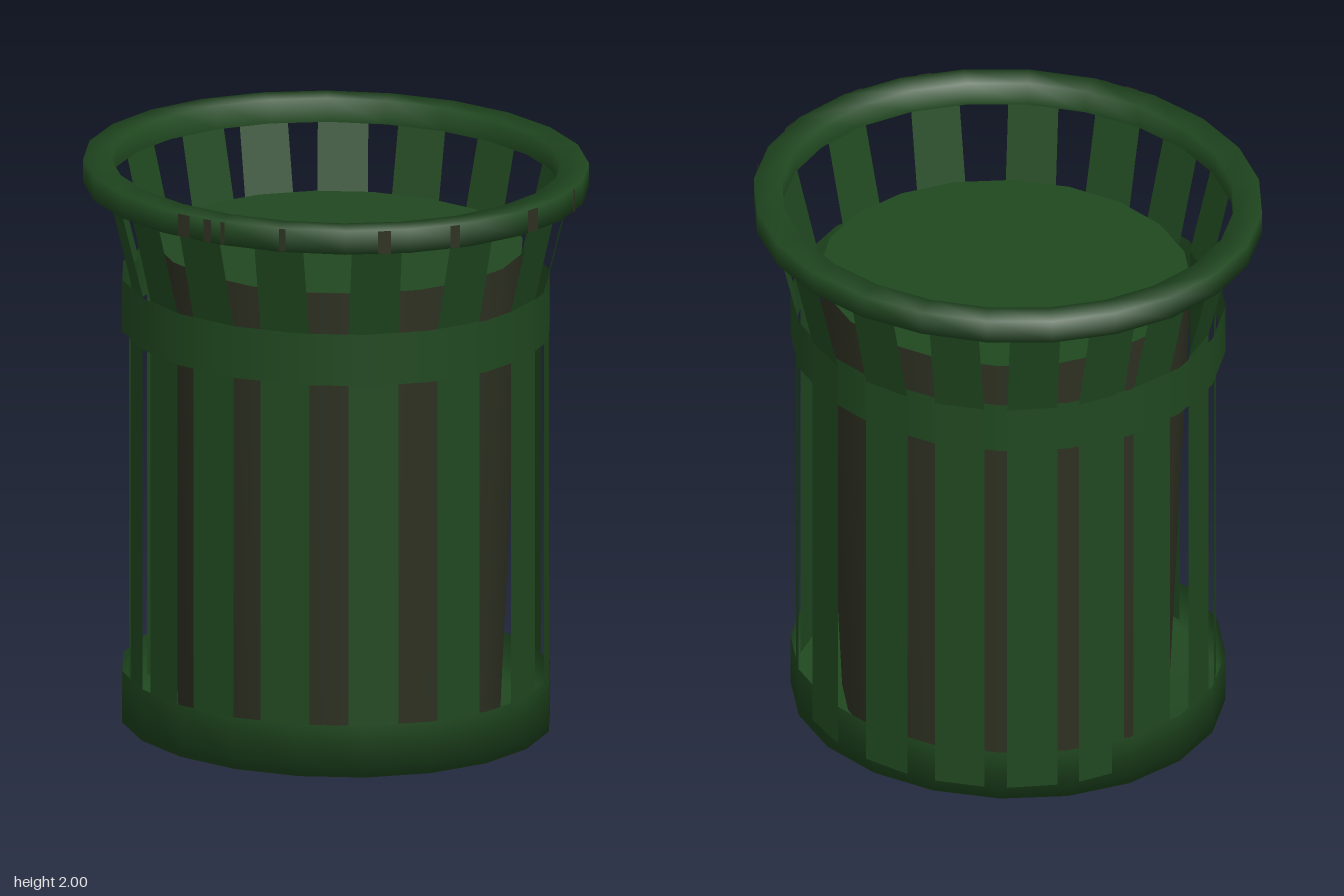
import * as THREE from 'three';

const green = new THREE.MeshStandardMaterial({ color: 0x204820, side: THREE.DoubleSide });
green.name = 'dark green paint';
const brown = new THREE.MeshStandardMaterial({ color: 0x2e3122, side: THREE.DoubleSide });
brown.name = 'dull brown liner';

export function createModel() {
  const root = new THREE.Group();
  root.name = 'litterBin';
  const rad = THREE.MathUtils.degToRad;

  const add = (name, geometry, material, parent = root) => {
    const mesh = new THREE.Mesh(geometry, material);
    mesh.name = name;
    parent.add(mesh);
    return mesh;
  };
  // Lathe profile stretched to an oval, optionally only a sector of it
  const oval = (points, sx, sz, segments = 20, start = 0, length = Math.PI * 2) =>
    new THREE.LatheGeometry(points.map(([r, y]) => new THREE.Vector2(r, y)), segments, start, length)
      .scale(sx, 1, sz);

  // Shallow base cup, softly shaded across its lower edge
  add('baseCup', oval([[0, 0], [1, 0], [1, 0.185]], 0.755, 0.705), green);

  // Flat band around the slats
  add('band', oval([[1, 1.405], [1, 1.59]], 0.755, 0.705), green);

  // Tapered inner liner with its lid
  const liner = add('liner', oval([[0.878, 0.01], [1, 1.7]], 0.645, 0.605), brown);
  const lid = add('linerLid', new THREE.CircleGeometry(1, 20).rotateX(-Math.PI / 2).scale(0.645, 1, 0.605), green);
  liner.position.z = -0.025;
  lid.position.set(0, 1.701, -0.025);

  // Thick square-edged top rim with soft shading
  const rimProfile = [[0.89, 1.915], [1, 1.915], [1, 2], [0.89, 2], [0.89, 1.915]];
  add('rim', oval(rimProfile, 0.885, 0.822, 24), green);

  // Worn streaks on the rim: [degrees from the front toward +x, width in degrees]
  const streaks = [[-9, 3.2], [-2.6, 2], [1.3, 1], [15.7, 1.5], [39, 3], [56, 2.5], [79, 3.5], [98, 1]];
  for (const [a, w] of streaks) {
    add('rimStreak', oval([[1.002, 1.918], [1.002, 1.998]], 0.885, 0.822, 1, rad(a - w / 2), rad(w)), brown);
  }

  // Thin slats: straight up to the band, then flaring out to the rim
  const slats = new THREE.Group();
  slats.name = 'slats';
  slats.position.z = -0.02;
  root.add(slats);
  const levels = [[0, 0.055], [0, 1.58], [0.09, 1.95]]; // outward offset, height
  const angles = [-8, 14, 38.5, 64, 91, 114, 141, 166, 188, 208, 228, 245, 268, 289, 313, 332];
  for (const a of angles) {
    const geometry = new THREE.PlaneGeometry(0.174, 1, 1, 2).toNonIndexed();
    const position = geometry.attributes.position;
    for (let i = 0; i < position.count; i++) {
      const [offset, y] = levels[Math.round((position.getY(i) + 0.5) * 2)];
      position.setY(i, y);
      position.setZ(i, offset);
    }
    geometry.computeVertexNormals();
    const slat = add('slat', geometry, green, slats);
    slat.rotation.y = rad(a);
    slat.position.set(0.722 * Math.sin(rad(a)), 0, 0.7 * Math.cos(rad(a)));
  }
  return root;
}
